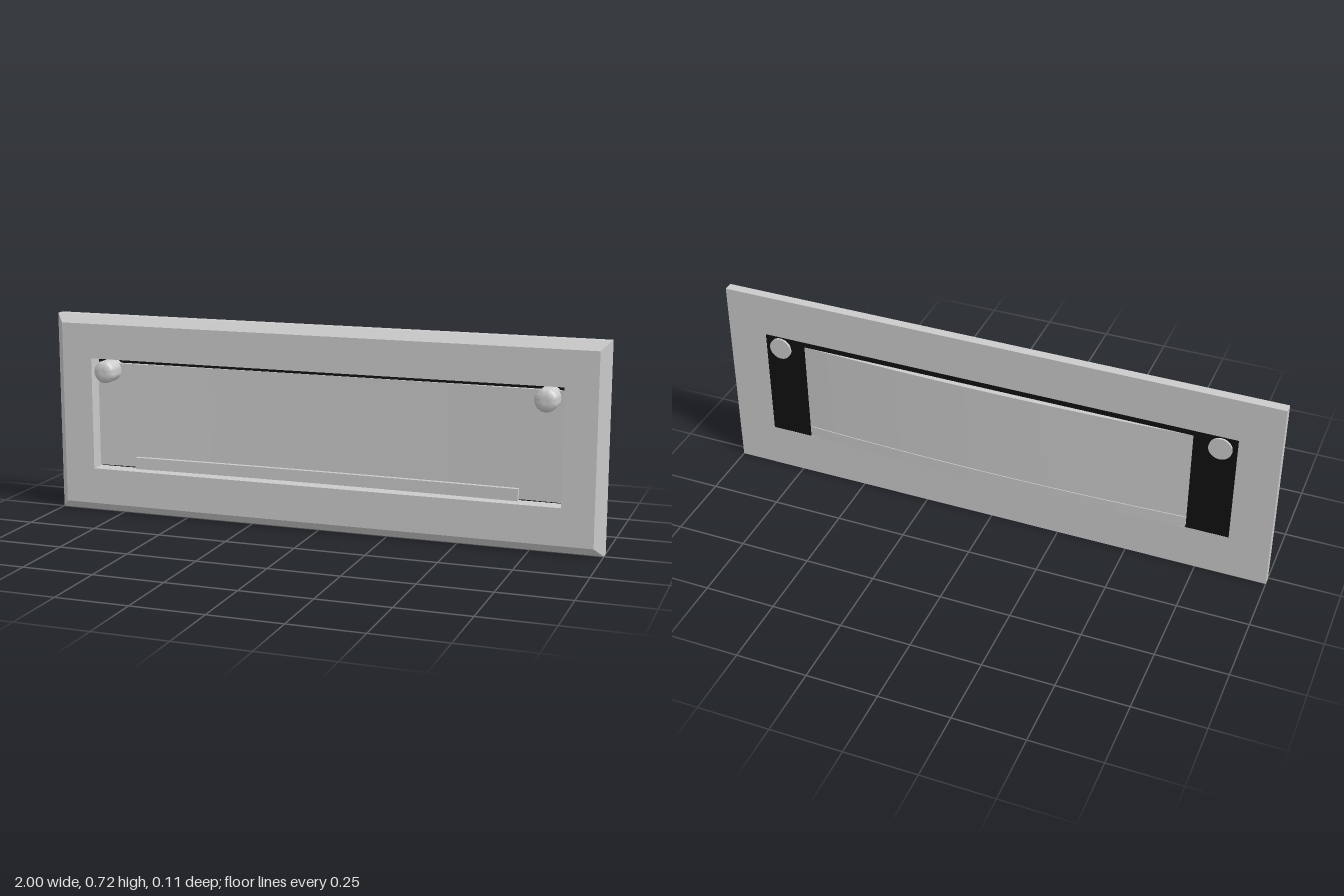
import * as THREE from 'three';
import { toCreasedNormals } from 'three/addons/utils/BufferGeometryUtils.js';

const grey = new THREE.MeshStandardMaterial({ color: 0xcccccc });
const black = new THREE.MeshStandardMaterial({ color: 0x111111 });

const BACK = -0.034, FRONT = 0.03, HEIGHT = 0.72;
const OPEN = { x: 0.857, y0: 0.16, y1: 0.565 };

// Corners of a rectangle, counter-clockwise from the front
const rect = (x, y0, y1, z) => [[-x, y0, z], [x, y0, z], [x, y1, z], [-x, y1, z]];

// Closed ring of flat quads swept through rectangular sections
function ringGeometry(sections) {
  const pos = [];
  sections.forEach((a, k) => {
    const b = sections[(k + 1) % sections.length];
    for (let i = 0; i < 4; i++) {
      const j = (i + 1) % 4;
      pos.push(...a[i], ...a[j], ...b[j], ...a[i], ...b[j], ...b[i]);
    }
  });
  const g = new THREE.BufferGeometry();
  g.setAttribute('position', new THREE.Float32BufferAttribute(pos, 3));
  g.computeVertexNormals();
  return g;
}

// Upright plate bowed towards the back, between two arcs z(x) = middle + bow * x^2
function bowedPlate(halfWidth, y0, y1, frontMid, frontBow, backMid, backBow) {
  const n = 32, pts = [];
  const x = (i) => halfWidth * (2 * i / n - 1);
  for (let i = 0; i <= n; i++) pts.push(new THREE.Vector2(x(i), -(frontMid + frontBow * x(i) ** 2)));
  for (let i = n; i >= 0; i--) pts.push(new THREE.Vector2(x(i), -(backMid + backBow * x(i) ** 2)));
  const g = new THREE.ExtrudeGeometry(new THREE.Shape(pts), { depth: y1 - y0, bevelEnabled: false });
  g.rotateX(-Math.PI / 2).translate(0, y0, 0);
  return toCreasedNormals(g, 0.5);
}

export function createModel() {
  const model = new THREE.Group();
  const add = (name, geometry, material = grey) => {
    const mesh = new THREE.Mesh(geometry, material);
    mesh.name = name;
    model.add(mesh);
    return mesh;
  };

  // Frame with a chamfered front edge and a rectangular opening
  const inset = 0.03;
  add('frame', ringGeometry([
    rect(1, 0, HEIGHT, BACK),
    rect(1, 0, HEIGHT, 0),
    rect(1 - inset, inset, HEIGHT - inset, FRONT),
    rect(OPEN.x, OPEN.y0, OPEN.y1, FRONT),
    rect(OPEN.x, OPEN.y0, OPEN.y1, BACK),
  ]));

  // Dark backing inside the opening; the flap bulges through it
  const backing = add('backing',
    new THREE.BoxGeometry(2 * OPEN.x, OPEN.y1 - OPEN.y0, 0.002), black);
  backing.position.set(0, (OPEN.y0 + OPEN.y1) / 2, -0.032);

  // Hinged flap and the finger bar along its lower edge
  add('flap', bowedPlate(0.85, 0.167, 0.545, -0.028, 0.024, -0.052, 0.038));
  add('fingerBar', bowedPlate(0.705, 0.163, 0.205, -0.012, 0.024, -0.055, 0.038));

  // Round-headed hinge pins in the upper corners
  const profile = [[0, -0.041], [0.04, -0.041], [0.04, 0.04], [0.036, 0.047],
    [0.029, 0.052], [0.02, 0.055], [0.01, 0.0565], [0, 0.057]];
  const pin = toCreasedNormals(new THREE.LatheGeometry(
    profile.map(([r, y]) => new THREE.Vector2(r, y)), 32).rotateX(Math.PI / 2), 0.7);
  for (const [side, name] of [[1, 'leftPin'], [-1, 'rightPin']]) {
    add(name, pin).position.set(side * 0.8, 0.52, 0);
  }

  return model;
}
